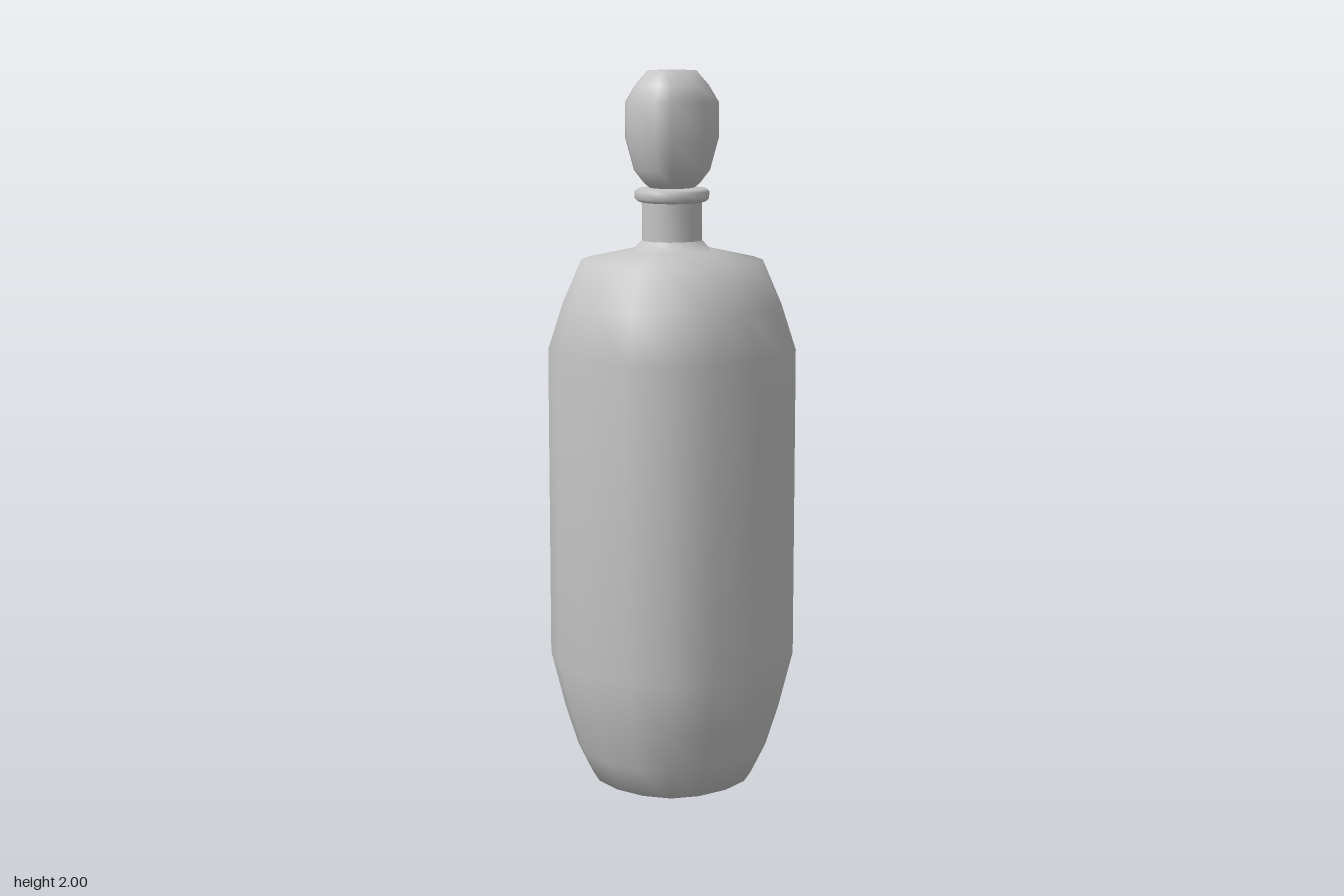
import * as THREE from 'three';
import { mergeVertices } from 'three/addons/utils/BufferGeometryUtils.js';

// Smooth lathe whose columns are placed at chosen angles (degrees from +z)
// and scaled by a radius factor, so the plan can be slightly squared.
function turned(profile, columns) {
  const n = columns.length;
  const lathe = new THREE.LatheGeometry(profile.map(([r, y]) => new THREE.Vector2(r, y)), n);
  const pos = lathe.attributes.position;
  for (let i = 0; i < pos.count; i++) {
    const [deg, k] = columns[Math.floor(i / profile.length) % n];
    const r = profile[i % profile.length][0] * k;
    const a = THREE.MathUtils.degToRad(deg);
    pos.setXYZ(i, r * Math.sin(a), pos.getY(i), r * Math.cos(a));
  }
  lathe.deleteAttribute('normal');
  lathe.deleteAttribute('uv');
  const geo = mergeVertices(lathe, 1e-4);
  geo.computeVertexNormals();
  return geo;
}

// Repeat the columns of one quarter around the axis
const quarters = (cols) => [0, 90, 180, 270].flatMap((q) => cols.map(([d, k]) => [d + q, k]));

export function createModel() {
  const group = new THREE.Group();
  const grey = new THREE.MeshStandardMaterial({ color: 0xc4c4c4 });
  grey.name = 'pale grey';
  const add = (name, geo) => {
    const mesh = new THREE.Mesh(geo, grey);
    mesh.name = name;
    group.add(mesh);
    return mesh;
  };

  // Softly squared, sixteen-sided body with a shallow domed base
  const squared = quarters([[0, 1], [24.4, 1.02], [45, 1.05], [65.6, 1.02]]);
  add('body', turned([
    [0, 0], [0.11, 0.018], [0.21, 0.05], [0.25, 0.135], [0.283, 0.245], [0.32, 0.4],
    [0.32, 0.82], [0.32, 1.25], [0.282, 1.375], [0.233, 1.495], [0.09, 1.528], [0, 1.53],
  ], squared));

  // Neck, flared more to the sides than to the front and back
  const round = quarters([[0, 1], [22.5, 1], [45, 1], [67.5, 1]]);
  add('neck', turned([[0.081, 1.5], [0.081, 1.55], [0.081, 1.66]], round));
  const flare = add('neckFlare', turned([[0.14, 1.512], [0.1, 1.528], [0.081, 1.548]], round));
  flare.scale.z = 0.99;

  // Rounded lip ring
  add('lip', turned([
    [0.075, 1.648], [0.092, 1.652], [0.1, 1.66], [0.1, 1.678], [0.092, 1.686], [0.06, 1.688], [0, 1.688],
  ], round));

  // Faceted egg-shaped stopper with a flat top
  const stopperSides = [0, 24.7, 45, 90, 135, 155.3, 180, 204.7, 225, 270, 315, 335.3].map((d) => [d, 1]);
  add('stopper', turned([
    [0, 1.67], [0.05, 1.68], [0.075, 1.7], [0.102, 1.735], [0.125, 1.82],
    [0.125, 1.915], [0.098, 1.96], [0.065, 1.998], [0, 2],
  ], stopperSides));

  return group;
}
